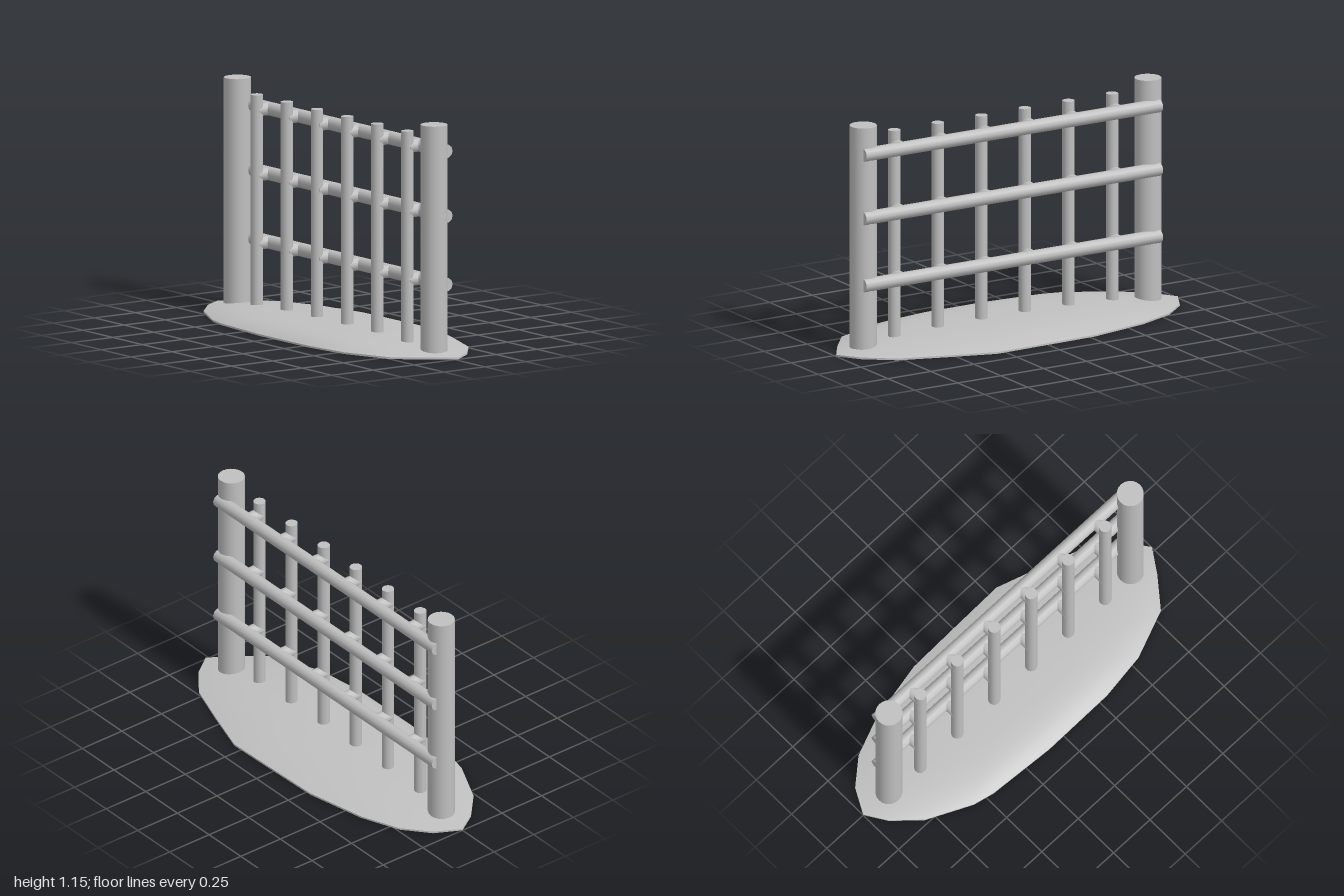
import * as THREE from 'three';

const grey = new THREE.MeshStandardMaterial({ color: 0xc0c0c0 });
grey.name = 'grey';

// Low earth mound: scaled rings of one outline, domed, with a flat underside
function moundGeometry() {
  const outline = [
    [-1, 0], [-0.93, -0.13], [-0.8, -0.24], [-0.6, -0.32], [-0.28, -0.385], [0, -0.393],
    [0.3, -0.4], [0.55, -0.32], [0.78, -0.24], [0.92, -0.13], [1, -0.02], [0.92, 0.1],
    [0.8, 0.25], [0.55, 0.35], [0.3, 0.385], [-0.1, 0.39], [-0.46, 0.365], [-0.57, 0.34],
    [-0.8, 0.23], [-0.93, 0.11],
  ];
  const n = outline.length;
  const pos = [], index = [];
  const addRing = (s, height) => {
    const start = pos.length / 3;
    for (const [x, z] of outline) pos.push(x * s, height(z), z * s);
    return start;
  };
  const bridge = (a, b) => {
    for (let i = 0; i < n; i++) {
      const j = (i + 1) % n;
      index.push(a + i, b + j, a + j, a + i, b + i, b + j);
    }
  };
  const rim = 0.009;
  // the front flank is steeper than the back
  const dome = (s) => (z) => rim + 0.05 * (1 - Math.pow(s, 2.6 + 2.8 * Math.max(0, z / 0.39)));

  // Domed top
  const scales = [1, 0.95, 0.88, 0.78, 0.64, 0.46, 0.24];
  const rings = scales.map((s) => addRing(s, dome(s)));
  for (let k = 1; k < rings.length; k++) bridge(rings[k], rings[k - 1]);
  const peak = pos.length / 3;
  pos.push(0, rim + 0.05, 0);
  const last = rings[rings.length - 1];
  for (let i = 0; i < n; i++) index.push(peak, last + (i + 1) % n, last + i);

  // Thin rim wall
  bridge(addRing(1, () => rim), addRing(1, () => 0));

  // Flat underside
  const under = addRing(1, () => 0);
  const centre = pos.length / 3;
  pos.push(0, 0, 0);
  for (let i = 0; i < n; i++) index.push(centre, under + i, under + (i + 1) % n);

  const g = new THREE.BufferGeometry();
  g.setAttribute('position', new THREE.Float32BufferAttribute(pos, 3));
  g.setIndex(index);
  // Make every triangle of the mound wind outward
  const p = g.attributes.position;
  const inside = new THREE.Vector3(0, 0.004, 0);
  const [a, b, c] = [0, 1, 2].map(() => new THREE.Vector3());
  for (let t = 0; t < index.length; t += 3) {
    [a, b, c].forEach((v, k) => v.fromBufferAttribute(p, index[t + k]));
    const out = a.clone().sub(inside);
    const normal = b.clone().sub(a).cross(c.clone().sub(a));
    if (normal.dot(out) < 0) [index[t + 1], index[t + 2]] = [index[t + 2], index[t + 1]];
  }
  g.setIndex(index);
  g.computeVertexNormals();
  return g;
}

export function createModel() {
  const model = new THREE.Group();
  model.name = 'fence';
  const add = (name, geometry, x, y, z) => {
    const mesh = new THREE.Mesh(geometry, grey);
    mesh.name = name;
    mesh.position.set(x, y, z);
    model.add(mesh);
    return mesh;
  };

  add('groundMound', moundGeometry(), 0, 0, 0);

  // End posts
  const post = new THREE.CylinderGeometry(0.067, 0.067, 1.154, 20);
  for (const side of [-1, 1]) add('post', post, side * 0.828, 0.577, 0.004);

  // Horizontal rails behind the posts
  const railHeights = [0.35, 0.693, 1.018];
  const rail = new THREE.CylinderGeometry(0.034, 0.034, 1.725, 10).rotateZ(Math.PI / 2);
  for (const y of railHeights) add('rail', rail, 0, y, -0.05);

  // Upright bars, each pegged to every rail
  const bar = new THREE.CylinderGeometry(0.031, 0.031, 1.097, 14);
  const peg = new THREE.CylinderGeometry(0.033, 0.033, 0.075, 12).rotateX(Math.PI / 2);
  for (let i = 0; i < 6; i++) {
    const x = (i - 2.5) * 0.2535;
    add('bar', bar, x, 0.5485, 0.026);
    for (const y of railHeights) add('peg', peg, x, y, -0.006);
  }
  return model;
}
